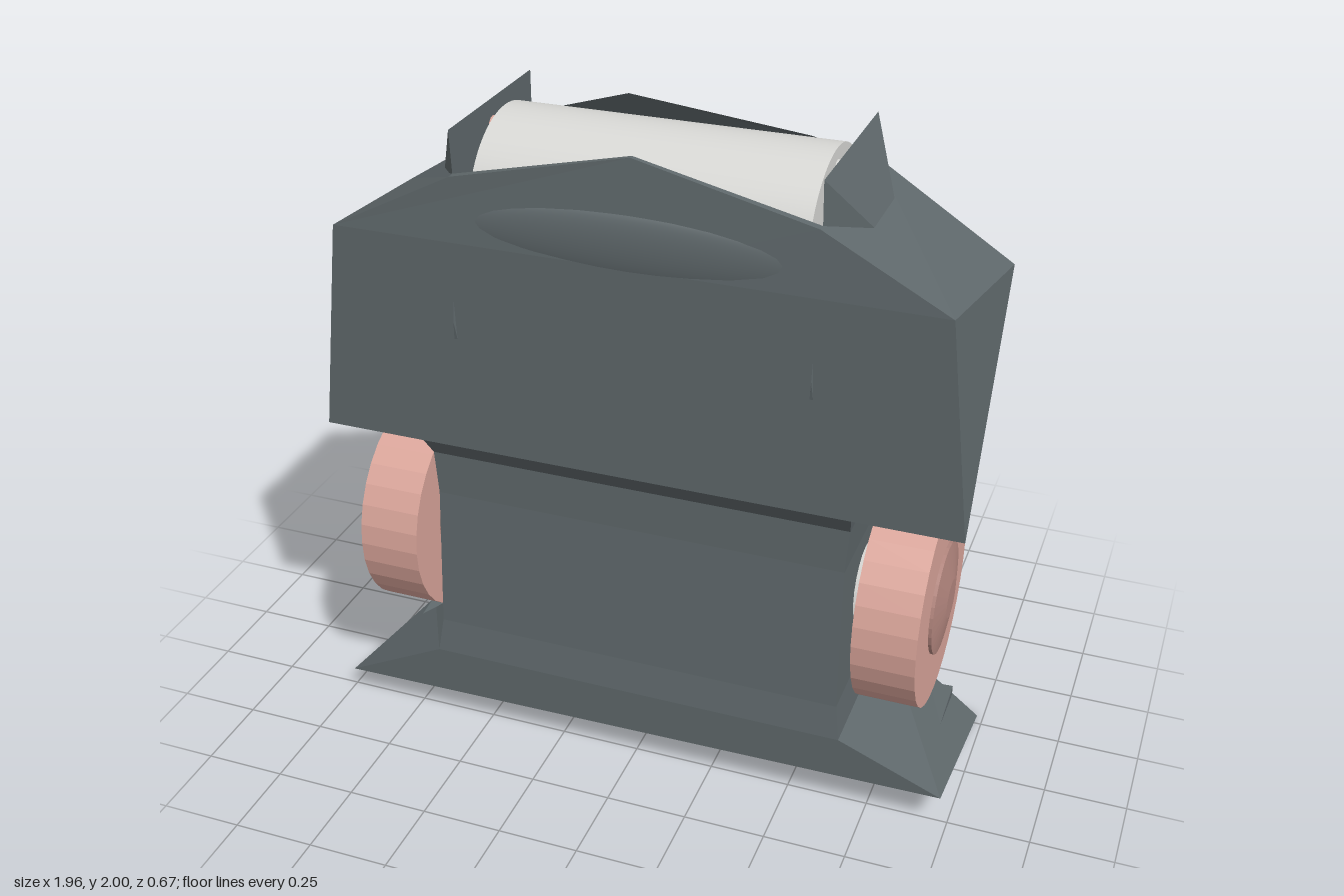
import * as THREE from 'three';

const paint = (name, color) => new THREE.MeshStandardMaterial({ name, color });
const mats = {
  shell: paint('slate grey', 0x5f686b),
  coral: paint('coral', 0xdba69b),
  hub: paint('dusky coral', 0xb4877f),
  paper: paint('light grey', 0xd8d8d5),
  teal: paint('teal', 0x58a59a),
};
mats.shell.side = THREE.DoubleSide;

// Flat-faced geometry from polygons, each split as a fan from its first corner
function faceted(polys) {
  const pos = [];
  for (const p of polys)
    for (let i = 1; i < p.length - 1; i++) pos.push(...p[0], ...p[i], ...p[i + 1]);
  const g = new THREE.BufferGeometry();
  g.setAttribute('position', new THREE.Float32BufferAttribute(pos, 3));
  g.computeVertexNormals();
  return g;
}
const mirrored = (polys) => polys.map((p) => p.map(([x, y, z]) => [-x, y, z]).reverse());

// Cylinder lying along x, from x0 (radius r0) to x1 (radius r1)
function rod(x0, x1, r0, r1, y, z, sides, flat) {
  let g = new THREE.CylinderGeometry(r1, r0, Math.abs(x1 - x0), sides);
  g.rotateZ(x1 > x0 ? -Math.PI / 2 : Math.PI / 2);
  g.translate((x0 + x1) / 2, y, z);
  if (flat) {
    g = g.toNonIndexed();
    g.computeVertexNormals();
  }
  return g;
}

export function createModel() {
  const model = new THREE.Group();
  const add = (name, geometry, material) => {
    const m = new THREE.Mesh(geometry, material);
    m.name = name;
    model.add(m);
    return m;
  };

  // Hood: one half, then mirrored; F front, B back, G inner rim, N and C slot floor
  const F0 = [0.98, 1.02, 0.29], F1 = [0.9, 1.68, 0.29], F2 = [0.53, 1.87, 0.275], F3 = [0, 1.99, 0.26];
  const B0 = [0.66, 1.02, -0.29], B1 = [0.95, 1.6, -0.29], B2 = [0.53, 1.87, -0.29];
  const G2 = [0.53, 1.87, 0.25], G3 = [0, 1.99, 0.245];
  const N = [0.53, 1.57, -0.29], C = [0.53, 1.57, 0.25];
  const mid = (y, z) => [0, y, z];
  const half = [
    [mid(1.02, 0.29), F0, F1, mid(1.68, 0.29)],
    [mid(1.68, 0.29), F1, F2, F3],
    [F0, B1, F1],
    [F0, B0, B1],
    [F1, B1, B2, F2],
    [N, B2, B1, B0, mid(1.02, -0.29), mid(1.57, -0.29)],
    [F2, G2, G3, F3],
    [C, mid(1.57, 0.25), G3, G2],
    [N, C, G2, B2],
    [N, mid(1.57, -0.29), mid(1.57, 0.25), C],
    [F0, mid(1.02, 0.29), mid(1.02, -0.29), B0],
  ];
  add('hood', faceted([...half, ...mirrored(half)]), mats.shell);

  // Shallow swelling on the hood front
  const bulge = new THREE.SphereGeometry(1, 32, 16);
  bulge.scale(0.55, 0.1, 0.028).translate(0, 1.735, 0.268);
  add('frontBulge', bulge, mats.shell);

  // Flap along the back edge, leaning over the roll
  add('backFlap', faceted([[[0.53, 1.87, -0.29], [-0.53, 1.87, -0.29], [-0.19, 1.99, -0.22], [0.35, 1.92, -0.25]]]), mats.shell);

  // Wedge on the left flank
  const w = [[0.9, 1.44, -0.24], [0.925, 1.27, -0.05], [0.89, 1.06, -0.04], [0.86, 1.06, -0.24]];
  const foot = [0.7, 1.06, -0.24];
  add('flankWedge', faceted([[w[0], w[1], w[3]], [w[1], w[2], w[3]], [w[0], w[3], foot], [w[3], w[2], foot]]), mats.shell);

  // Ears holding the roll
  const a = [0.53, 2, 0.26], b = [0.53, 2, -0.29], c = [0.63, 1.82, -0.12];
  const d = [0.63, 1.82, 0.1], e = [0.53, 1.86, 0.25], f = [0.53, 1.87, -0.29];
  const ear = [[a, d, c, b], [a, e, d], [c, f, b], [a, b, f, e]];
  add('leftEar', faceted(ear), mats.shell);
  add('rightEar', faceted(mirrored(ear)), mats.shell);

  // Roll and its pins
  add('roll', rod(-0.49, 0.49, 0.27, 0.27, 1.715, -0.02, 64), mats.paper);
  add('rightPin', rod(-0.57, -0.48, 0.028, 0.028, 1.92, -0.02, 12), mats.coral);
  add('leftPin', rod(0.48, 0.53, 0.03, 0.03, 1.92, -0.02, 12), mats.paper);

  // Body: rings from the splayed foot up to the hood
  const level = (x, y, zf, zb) => [[x, y, zf], [x, y, zb], [-x, y, zb], [-x, y, zf]];
  const rings = [
    [[0.98, 0.12, 0.29], [0.98, 0, -0.29], [-0.98, 0, -0.29], [-0.98, 0.09, 0.29]],
    level(0.66, 0.25, 0.29, -0.29),
    level(0.645, 0.36, 0.275, -0.24),
    level(0.64, 0.82, 0.25, -0.23),
    level(0.65, 0.96, 0.25, -0.25),
    level(0.66, 1.02, 0.29, -0.29),
  ];
  const walls = [[...rings[0]].reverse()];
  for (let k = 0; k < rings.length - 1; k++)
    for (let i = 0; i < 4; i++) {
      const j = (i + 1) % 4, lo = rings[k], up = rings[k + 1];
      walls.push([lo[i], lo[j], up[j]], [lo[i], up[j], up[i]]);
    }
  add('body', faceted(walls), mats.shell);

  // Outlet bar and pointed plate on the back
  const bar = new THREE.BoxGeometry(0.72, 0.11, 0.09);
  bar.translate(-0.02, 0.955, -0.245);
  add('outletBar', bar, mats.teal);
  const plate = new THREE.Shape([[0.24, 0.88], [-0.12, 0.59], [-0.21, 0.58], [-0.21, 0.88]].map((p) => new THREE.Vector2(...p)));
  const plateGeo = new THREE.ExtrudeGeometry(plate, { depth: 0.03, bevelEnabled: false });
  plateGeo.translate(0, 0, -0.255);
  add('backPlate', plateGeo, mats.coral);

  for (const [s, side] of [[1, 'left'], [-1, 'right']]) {
    // Wheel, domed hub and pale bearing
    add(side + 'Wheel', rod(s * 0.69, s * 0.88, 0.333, 0.333, 0.63, 0, 32, true), mats.coral);
    add(side + 'HubRim', rod(s * 0.675, s * 0.89, 0.173, 0.173, 0.633, 0, 32, true), mats.hub);
    add(side + 'HubCap', rod(s * 0.89, s * 0.908, 0.173, 0.06, 0.633, 0, 32, true), mats.hub);
    add(side + 'Bearing', rod(s * 0.64, s * 0.68, 0.13, 0.06, 0.63, 0, 20, true), mats.paper);

    // Slim ridge on the hood front and small fin on the foot
    const ridge = [[[0.525, 1.38, 0.29], [0.535, 1.38, 0.29], [0.53, 1.44, 0.3]], [[0.535, 1.38, 0.29], [0.53, 1.5, 0.29], [0.53, 1.44, 0.3]], [[0.53, 1.5, 0.29], [0.525, 1.38, 0.29], [0.53, 1.44, 0.3]]];
    const fin = [[[0.9, 0.105, -0.05], [0.9, 0.1, -0.24], [0.9, 0.135, -0.24]], [[0.9, 0.135, -0.24], [0.78, 0.13, -0.24], [0.9, 0.105, -0.05]]];
    add(side + 'Ridge', faceted(s > 0 ? ridge : mirrored(ridge)), mats.shell);
    add(side + 'FootFin', faceted(s > 0 ? fin : mirrored(fin)), mats.shell);
  }
  return model;
}
